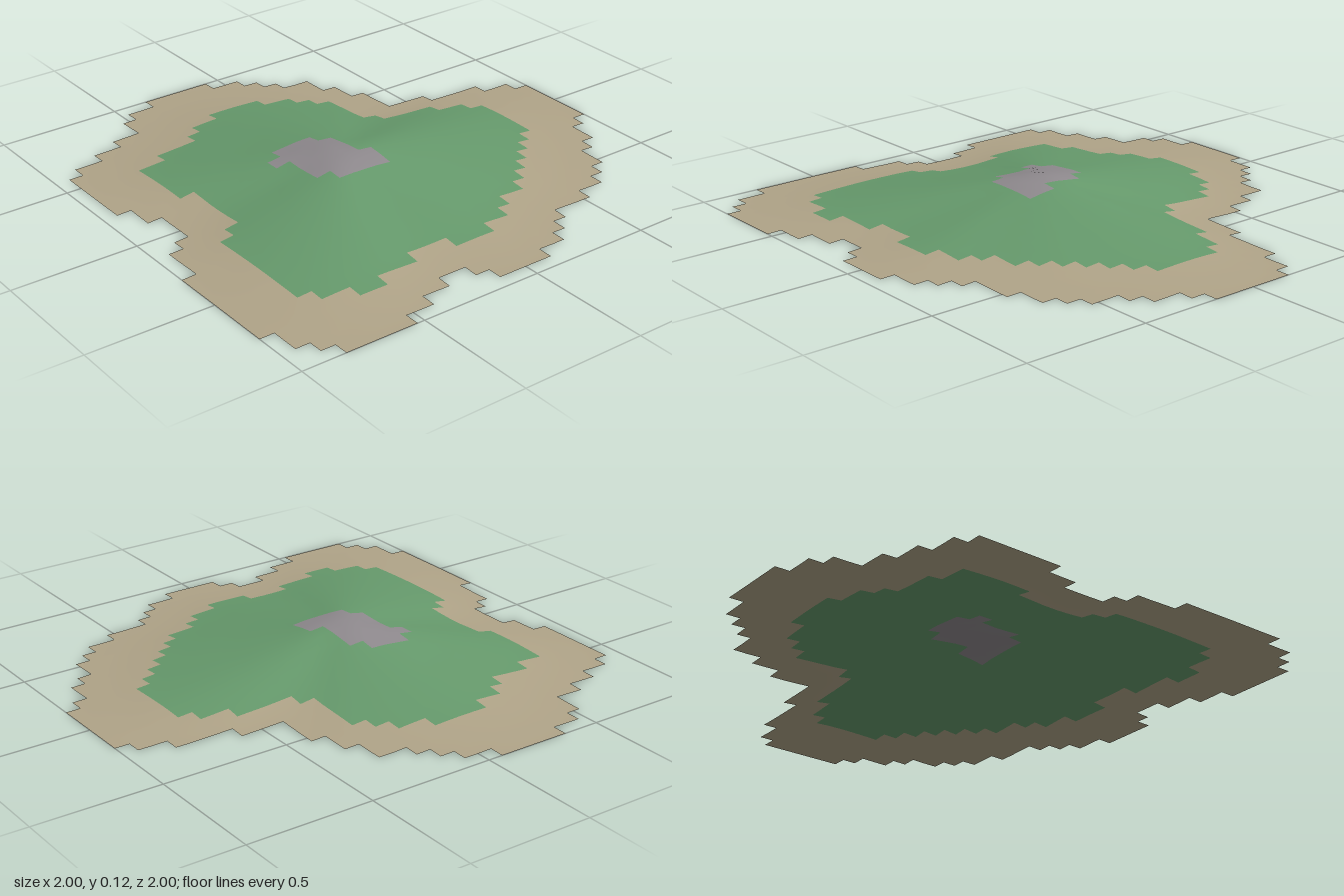
import * as THREE from 'three';

const N = 34, CELL = 2 / N;          // terrain grid
const CX = -0.12, CZ = 0.04;         // summit

// Zones as cell spans: one row per grid line from the back, [from, to) pairs
const land = [
  [11, 16], [9, 18], [8, 19], [8, 20], [6, 22], [4, 22], [2, 23], [1, 23], [1, 24],
  [1, 24], [1, 24], [1, 27], [1, 31], [2, 33], [2, 34], [3, 34], [3, 34], [3, 34],
  [2, 34], [1, 34], [1, 33], [1, 32], [0, 32], [0, 31], [0, 30], [0, 30], [0, 29],
  [0, 28], [0, 26], [0, 23], [1, 22], [1, 12, 14, 21], [2, 10, 15, 19], [3, 8],
];
const grass = [                      // starts at row 5
  [13, 17], [11, 19], [10, 20], [7, 21], [5, 21], [5, 21], [5, 21], [5, 22], [5, 26],
  [6, 28], [6, 29], [6, 29], [6, 29], [6, 29], [5, 29], [4, 28], [4, 27], [4, 26],
  [4, 25], [4, 24], [4, 23], [4, 21], [4, 20], [5, 12, 15, 18], [7, 9],
];
const rock = [[12, 15], [11, 16], [12, 16], [12, 16], [12, 17], [13, 17]]; // starts at row 14

function inside(rows, first, i, j) {
  const s = rows[i - first];
  if (!s) return false;
  for (let k = 0; k < s.length; k += 2) if (j >= s[k] && j < s[k + 1]) return true;
  return false;
}

// 0 sea, 1 sand, 2 grass, 3 rock
function zone(i, j) {
  if (inside(rock, 14, i, j)) return 3;
  if (inside(grass, 5, i, j)) return 2;
  return inside(land, 0, i, j) ? 1 : 0;
}

// Distance from the summit to the shore in every direction, smoothed
const STEPS = 120;
const reach = [];
for (let a = 0; a < STEPS; a++) {
  const t = a / STEPS * Math.PI * 2;
  let r = 0.2;
  while (zone(Math.floor((CZ + r * Math.sin(t) + 1) / CELL),
    Math.floor((CX + r * Math.cos(t) + 1) / CELL))) r += 0.01;
  reach.push(r);
}
const shore = reach.map((_, a) => {
  let sum = 0;
  for (let k = -4; k <= 4; k++) sum += reach[(a + k + STEPS) % STEPS];
  return sum / 9;
});

// Slope from summit to shore: [share of the distance, height]
const slope = [[0, 0.12], [0.08, 0.116], [0.23, 0.091], [0.43, 0.06], [0.6, 0.036],
  [0.72, 0.02], [0.85, 0.008], [1, 0]];

function height(x, z) {
  const dx = x - CX, dz = z - CZ;
  const a = (Math.atan2(dz, dx) / (Math.PI * 2) + 1) % 1 * STEPS;
  const k = Math.floor(a), f = a - k;
  const R = shore[k % STEPS] * (1 - f) + shore[(k + 1) % STEPS] * f;
  const t = Math.hypot(dx, dz) / R;
  for (let s = 1; s < slope.length; s++) {
    const [t0, h0] = slope[s - 1], [t1, h1] = slope[s];
    if (t < t1) return h0 + (h1 - h0) * (t - t0) / (t1 - t0);
  }
  return 0;
}

// All grid cells of one zone as a surface with smooth normals
function zoneMesh(id, name, color) {
  const pos = [], nor = [], index = [], seen = new Map();
  const e = CELL;
  const vertex = (i, j) => {
    const key = i * (N + 1) + j;
    if (!seen.has(key)) {
      const x = -1 + j * CELL, z = -1 + i * CELL;
      const n = new THREE.Vector3(height(x - e, z) - height(x + e, z), 2 * e,
        height(x, z - e) - height(x, z + e)).normalize();
      seen.set(key, pos.length / 3);
      pos.push(x, height(x, z), z);
      nor.push(n.x, n.y, n.z);
    }
    return seen.get(key);
  };
  for (let i = 0; i < N; i++) for (let j = 0; j < N; j++) {
    if (zone(i, j) !== id) continue;
    const a = vertex(i, j), b = vertex(i, j + 1), c = vertex(i + 1, j), d = vertex(i + 1, j + 1);
    index.push(a, c, b, b, c, d);
  }
  const g = new THREE.BufferGeometry();
  g.setAttribute('position', new THREE.Float32BufferAttribute(pos, 3));
  g.setAttribute('normal', new THREE.Float32BufferAttribute(nor, 3));
  g.setIndex(index);
  const mesh = new THREE.Mesh(g, new THREE.MeshStandardMaterial({ color, side: THREE.DoubleSide }));
  mesh.name = name;
  return mesh;
}

export function createModel() {
  const island = new THREE.Group();
  island.name = 'island';
  island.add(
    zoneMesh(1, 'sandShore', 0xb0a488),
    zoneMesh(2, 'grassSlope', 0x669a6c),
    zoneMesh(3, 'rockSummit', 0x8f8a8e),
  );
  return island;
}
